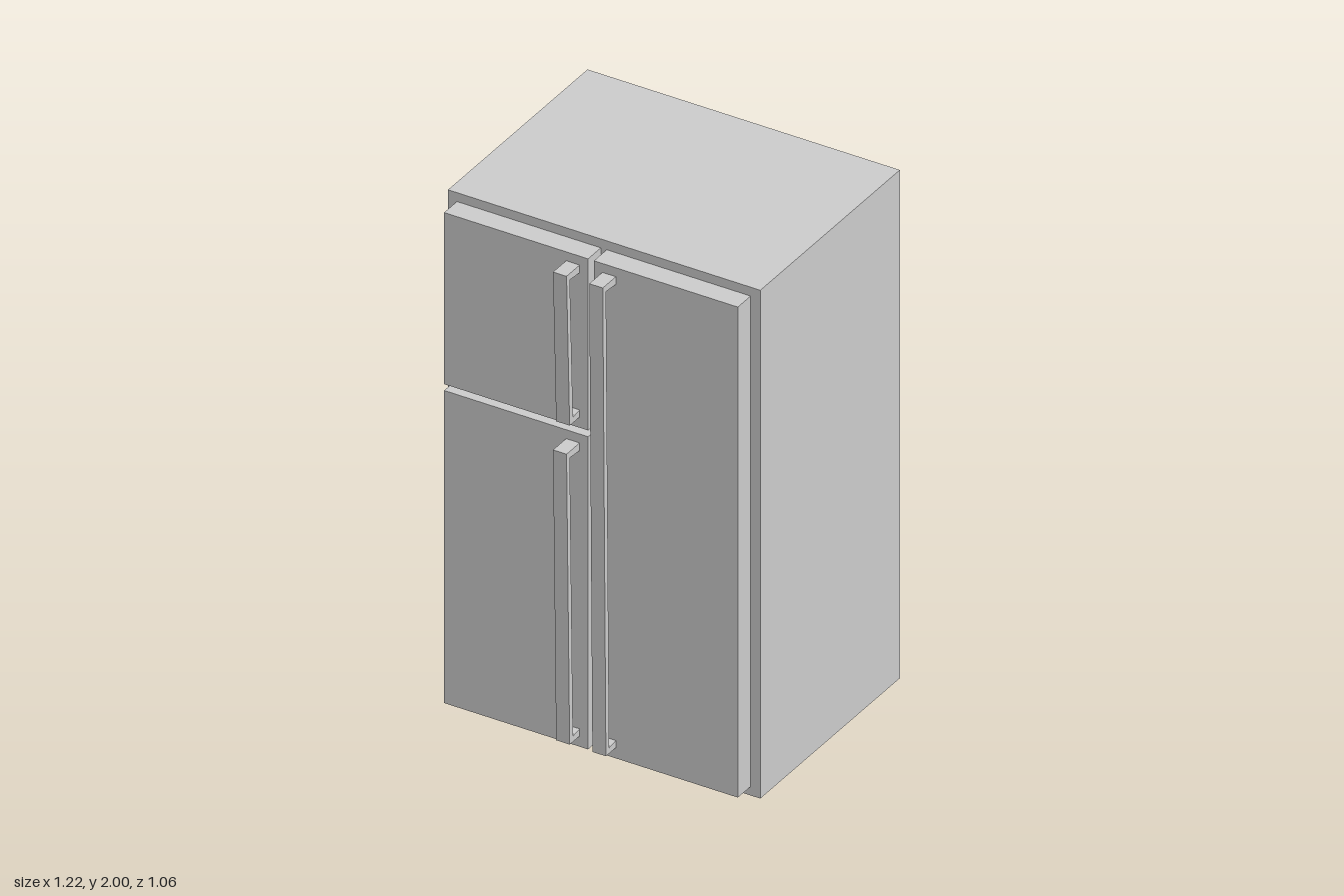
import * as THREE from 'three';

const material = new THREE.MeshStandardMaterial({ color: 0xcccccc, flatShading: true });

const BACK = -0.53, CABINET_FRONT = 0.365, DOOR_FRONT = 0.447;

// Box given by its limits on each axis
function block(name, x0, x1, y0, y1, z0, z1) {
  const mesh = new THREE.Mesh(new THREE.BoxGeometry(x1 - x0, y1 - y0, z1 - z0), material);
  mesh.position.set((x0 + x1) / 2, (y0 + y1) / 2, (z0 + z1) / 2);
  mesh.name = name;
  return mesh;
}

// Bracket handle: side outline (z, y) with a bar leaning outward at the top, extruded across x
function handle(name, x0, x1, y0, y1) {
  const outline = new THREE.Shape([
    [DOOR_FRONT, y0], [0.511, y0], [0.531, y1], [DOOR_FRONT, y1],
    [DOOR_FRONT, y1 - 0.03], [0.51, y1 - 0.025],
    [0.49, y0 + 0.022], [DOOR_FRONT, y0 + 0.028],
  ].map(([z, y]) => new THREE.Vector2(z, y)));
  const geometry = new THREE.ExtrudeGeometry(outline, { depth: x1 - x0, bevelEnabled: false });
  geometry.rotateY(-Math.PI / 2);
  const mesh = new THREE.Mesh(geometry, material);
  mesh.position.x = x1;
  mesh.name = name;
  return mesh;
}

export function createModel() {
  const model = new THREE.Group();
  model.name = 'refrigerator';

  model.add(block('cabinet', -0.612, 0.612, 0, 2, BACK, CABINET_FRONT));

  // Doors as [name, x range, y range], with the x range of each handle
  const doors = [
    ['upperRightDoor', -0.577, -0.013, 1.29, 1.965, -0.099, -0.046],
    ['lowerRightDoor', -0.577, -0.013, 0.035, 1.265, -0.099, -0.046],
    ['leftDoor', 0.01, 0.574, 0.035, 1.965, 0.043, 0.096],
  ];
  for (const [name, x0, x1, y0, y1, hx0, hx1] of doors) {
    model.add(block(name, x0, x1, y0, y1, CABINET_FRONT, DOOR_FRONT));
    model.add(handle(name + 'Handle', hx0, hx1, y0 + 0.042, y1 - 0.035));
  }
  return model;
}
